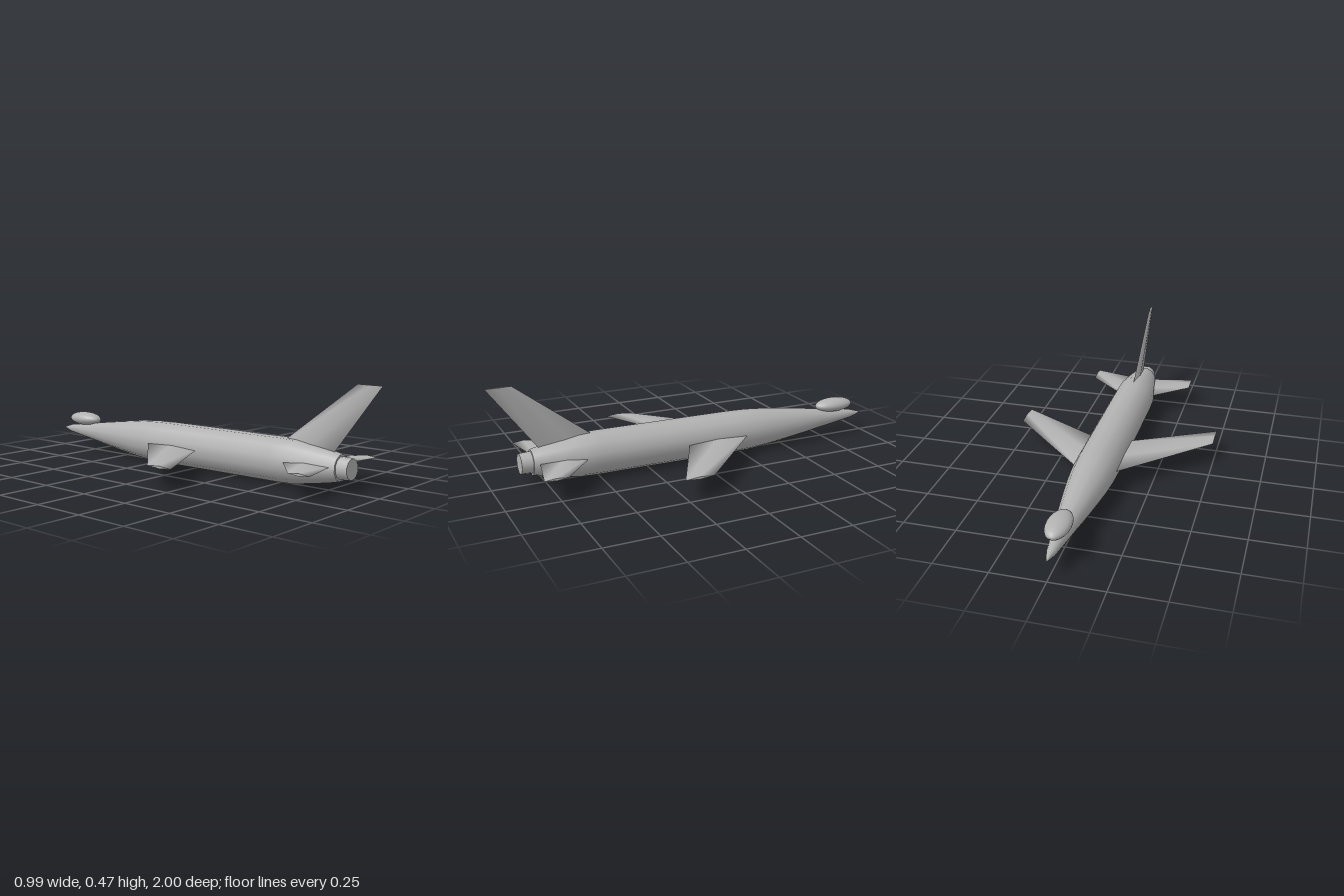
import * as THREE from 'three';

const AXIS_TILT = 0.005; // the body axis rises slightly towards the tail

// Tapered, swept panel with a diamond section, spanning +x; the chord runs along z.
function panelGeometry(root, tip) {
  const section = ({ s, le, te, t }) => {
    const mid = (le + te) / 2;
    return [[s, 0, le], [s, t, mid], [s, 0, te], [s, -t, mid]];
  };
  const a = section(root), b = section(tip);
  const positions = [...a, ...b, ...b, ...a].flat();
  const index = [];
  for (let i = 0; i < 4; i++) {
    const j = (i + 1) % 4;
    index.push(i, j, 4 + j, i, 4 + j, 4 + i);
  }
  index.push(8, 9, 10, 8, 10, 11, 12, 14, 13, 12, 15, 14); // tip and root caps
  const geometry = new THREE.BufferGeometry();
  geometry.setAttribute('position', new THREE.Float32BufferAttribute(positions, 3));
  geometry.setIndex(index);
  geometry.computeVertexNormals();
  return geometry;
}

export function createModel() {
  const model = new THREE.Group();
  model.name = 'jetAircraft';

  const grey = new THREE.MeshStandardMaterial({ color: 0xb2b2b2 });
  grey.name = 'grey';

  const add = (name, geometry, parent = model) => {
    const mesh = new THREE.Mesh(geometry, grey);
    mesh.name = name;
    parent.add(mesh);
    return mesh;
  };

  // Body parts are turned about y, then laid along z with the nose at -z
  const body = new THREE.Group();
  body.name = 'body';
  body.position.y = 0.105;
  body.rotation.x = Math.PI / 2 - AXIS_TILT;
  model.add(body);

  const profile = [
    [0, -1], [0.021, -0.93], [0.037, -0.82], [0.051, -0.72], [0.066, -0.62],
    [0.082, -0.5], [0.094, -0.4], [0.102, -0.3], [0.1045, -0.2],
    [0.1045, 0.5], [0.102, 0.58], [0.086, 0.68], [0.072, 0.76], [0.06, 0.812],
  ].map(([r, z]) => new THREE.Vector2(r, z));
  add('fuselage', new THREE.LatheGeometry(profile, 12, Math.PI / 12), body);

  const cap = new THREE.CircleGeometry(0.06, 12, Math.PI / 12);
  cap.rotateX(-Math.PI / 2);
  cap.translate(0, 0.812, 0);
  add('fuselageEnd', cap, body);

  const nozzle = new THREE.CylinderGeometry(0.048, 0.052, 0.065, 12, 1, false, Math.PI / 12);
  nozzle.translate(0, 0.833, 0);
  add('nozzle', nozzle, body);

  // Canopy bubble above the nose
  const canopy = add('canopy', new THREE.SphereGeometry(1, 20, 14));
  canopy.scale.set(0.055, 0.035, 0.107);
  canopy.position.set(0, 0.165, -0.822);

  // Wings and tailplanes, mirrored by a half turn about z
  const wing = panelGeometry(
    { s: 0.02, le: -0.328, te: 0.02, t: 0.009 },
    { s: 0.495, le: 0.13, te: 0.27, t: 0.006 });
  const tailplane = panelGeometry(
    { s: 0.02, le: 0.505, te: 0.778, t: 0.009 },
    { s: 0.27, le: 0.72, te: 0.83, t: 0.006 });
  for (const [side, angle] of [['left', 0], ['right', Math.PI]]) {
    const w = add(side + 'Wing', wing);
    w.position.y = 0.106;
    w.rotation.z = angle;
    const t = add(side + 'Tailplane', tailplane);
    t.position.y = 0.117;
    t.rotation.z = angle;
  }

  // Upright fin: the same kind of panel turned to span +y
  const fin = add('tailFin', panelGeometry(
    { s: 0.12, le: 0.41, te: 0.735, t: 0.011 },
    { s: 0.477, le: 0.88, te: 1, t: 0.006 }));
  fin.rotation.z = Math.PI / 2;

  return model;
}
